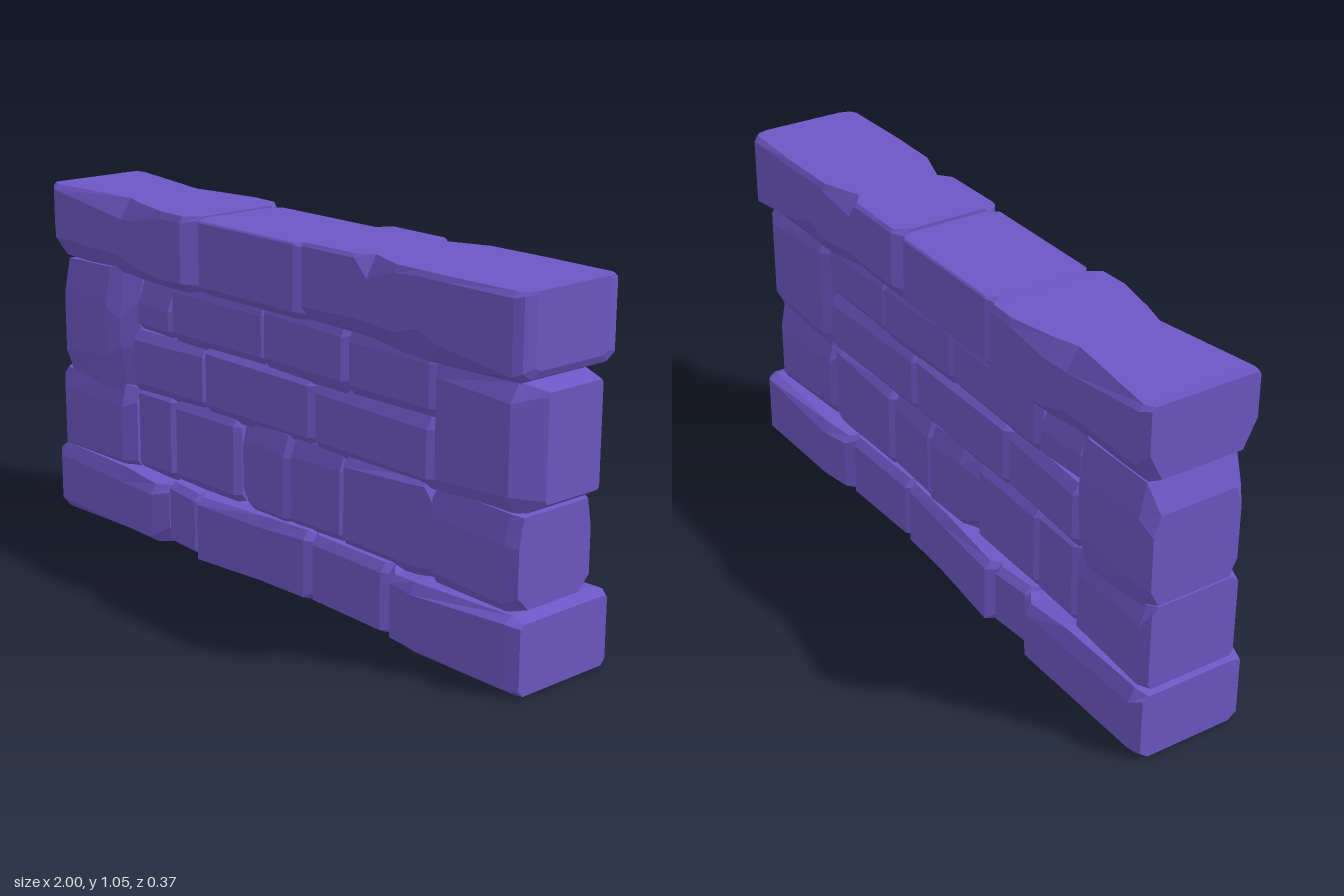
import * as THREE from 'three';

const stoneMat = new THREE.MeshStandardMaterial({ color: 0x6c57c4, flatShading: true });
stoneMat.name = 'purple stone';

let seed = 7;
const jitter = (a) => {
  seed = (seed * 16807) % 2147483647;
  return (seed / 2147483647 - 0.5) * 2 * a;
};

// Eight-sided section at x: bottom and top y, front depth z,
// bottom and top bevel heights (b) and depths (d); the back is shallower by "thin"
function section([x, y0, y1, z, b0 = 0.02, b1 = 0.02, d0 = 0.025, d1 = 0.02, own], stoneThin) {
  const zb = z - (own ?? stoneThin);
  return [
    [x, y0, z - d0], [x, y0 + b0, z], [x, y1 - b1, z], [x, y1, z - d1],
    [x, y1, d1 - zb], [x, y1 - b1, -zb], [x, y0 + b0, -zb], [x, y0, d0 - zb],
  ];
}

// Loft a stone through its sections, left to right, and cap both ends
function loft(stations, thin) {
  const rings = stations.map((s) => section(s, thin));
  const n = 8, index = [], last = (rings.length - 1) * n;
  for (let s = 0; s < rings.length - 1; s++) {
    for (let i = 0; i < n; i++) {
      const a = s * n + i, b = s * n + (i + 1) % n;
      index.push(a, a + n, b + n, a, b + n, b);
    }
  }
  for (let i = 1; i < n - 1; i++) {
    index.push(0, i, i + 1);
    index.push(last, last + i + 1, last + i);
  }
  const g = new THREE.BufferGeometry();
  g.setAttribute('position', new THREE.Float32BufferAttribute(rings.flat(2), 3));
  g.setIndex(index);
  g.computeVertexNormals();
  return g;
}

// Plain stone: chamfered ends, depth running from zL to zR
function plain([x0, x1, y0, y1, zL, zR, ...bevels]) {
  const e = 0.016;
  return [
    [x0, y0, y1, zL - 0.02, ...bevels],
    [x0 + e + jitter(0.005), y0, y1 + jitter(0.004), zL, ...bevels],
    [x1 - e + jitter(0.005), y0, y1 + jitter(0.004), zR, ...bevels],
    [x1, y0, y1, zR - 0.02, ...bevels],
  ];
}

export function createModel() {
  const wall = new THREE.Group();
  wall.name = 'stoneWall';
  const add = (name, stations, thin = 0.002) => {
    const m = new THREE.Mesh(loft(stations, thin), stoneMat);
    m.name = name;
    wall.add(m);
  };

  // Foundation course
  add('foundationLeftStone', [
    [-1, 0, 0.2, 0.16, 0.02, 0.01], [-0.965, 0, 0.215, 0.18, 0.03, 0.04],
    [-0.66, 0.005, 0.205, 0.175, 0.015, 0.045], [-0.5, 0.005, 0.19, 0.18, 0.02, 0.03],
    [-0.45, 0.01, 0.19, 0.148, 0.05, 0.02]]);
  add('foundationStone1', plain([-0.46, -0.3, 0.005, 0.2, 0.145, 0.155]));
  add('foundationStone2', [
    [-0.31, 0.01, 0.2, 0.135], [-0.285, 0, 0.2, 0.17, 0.01, 0.02],
    [-0.02, 0.005, 0.205, 0.15, 0.01, 0.03], [0.16, 0.005, 0.21, 0.145, 0.01, 0.025],
    [0.18, 0.01, 0.2, 0.125]]);
  add('foundationStone3', plain([0.175, 0.495, 0.005, 0.205, 0.14, 0.15, 0.012, 0.025]));
  add('foundationRightStone', [
    [0.49, 0, 0.205, 0.125], [0.525, 0, 0.19, 0.16, 0.015, 0.02],
    [0.62, 0, 0.2, 0.18, 0.02, 0.03], [0.965, 0, 0.21, 0.187, 0.02, 0.015, 0.03, 0.03],
    [1, 0, 0.195, 0.165, 0.015, 0.01, 0.015, 0.015]]);

  // Second course: proud end stones, recessed middle stones
  const inner = -0.004;
  add('secondCourseLeftStone', [
    [-0.985, 0.19, 0.46, 0.145, 0.03], [-0.96, 0.19, 0.46, 0.164, 0.03, 0.06],
    [-0.68, 0.19, 0.46, 0.15, 0.03, 0.07], [-0.64, 0.19, 0.45, 0.12, 0.03, 0.04]], 0.014);
  [
    [-0.65, -0.465, 0.19, 0.46, 0.118, 0.115, 0.03, 0.02],
    [-0.47, -0.165, 0.19, 0.46, 0.115, 0.115, 0.035, 0.03],
    [0.065, 0.29, 0.19, 0.46, 0.122, 0.115, 0.035, 0.05],
  ].forEach((s, i) => add('secondCourseStone' + (i + 1), plain(s), inner));
  add('secondCourseFacetedStone', [
    [-0.17, 0.19, 0.455, 0.09, 0.06, 0.08], [-0.09, 0.19, 0.46, 0.122, 0.03, 0.05],
    [0.055, 0.19, 0.46, 0.128, 0.03, 0.06], [0.085, 0.19, 0.45, 0.105, 0.03, 0.06]], inner);
  add('secondCourseLongStone', [
    [0.28, 0.19, 0.45, 0.1, 0.035], [0.3, 0.19, 0.46, 0.122, 0.035, 0.03],
    [0.58, 0.19, 0.47, 0.128, 0.035, 0.02], [0.61, 0.19, 0.47, 0.12, 0.035],
    [0.655, 0.19, 0.38, 0.1, 0.035]], inner);
  add('secondCourseRightStone', [
    [0.625, 0.19, 0.44, 0.105, 0.04], [0.66, 0.19, 0.465, 0.138, 0.045, 0.08],
    [0.93, 0.19, 0.465, 0.158, 0.04, 0.08], [0.965, 0.21, 0.46, 0.14, 0.04, 0.08, 0.04, 0.015]], 0.012);

  // Tall end stones of the middle course
  add('middleLeftStone', [
    [-0.98, 0.46, 0.73, 0.14, 0.05, 0.06], [-0.945, 0.445, 0.815, 0.162, 0.08, 0.1],
    [-0.72, 0.44, 0.825, 0.172, 0.11, 0.12], [-0.68, 0.44, 0.83, 0.148, 0.14, 0.16],
    [-0.635, 0.44, 0.83, 0.105, 0.14, 0.1]], 0.006);
  add('middleRightStone', [
    [0.63, 0.44, 0.82, 0.105, 0.05, 0.06], [0.67, 0.44, 0.81, 0.14, 0.05, 0.05],
    [0.93, 0.45, 0.8, 0.15, 0.06, 0.05, 0.03, 0.03],
    [0.985, 0.485, 0.775, 0.07, 0.01, 0.01, 0.005, 0.005, -0.06]]);

  // Two thin rows between the tall stones
  [
    [-0.66, -0.46, 0.63, 0.83, 0.108, 0.118, 0.03, 0.11, 0.025, 0.04],
    [-0.47, -0.04, 0.63, 0.835, 0.122, 0.115, 0.035, 0.05],
    [-0.055, 0.31, 0.63, 0.835, 0.12, 0.128, 0.04, 0.04],
    [0.3, 0.64, 0.63, 0.835, 0.122, 0.122, 0.035, 0.05],
  ].forEach((s, i) => add('upperThinStone' + (i + 1), plain(s), inner));
  [
    [-0.655, -0.315, 0.44, 0.64, 0.128, 0.112, 0.035, 0.03],
    [-0.32, 0.165, 0.44, 0.645, 0.118, 0.115, 0.035, 0.02],
    [0.16, 0.635, 0.44, 0.645, 0.115, 0.125, 0.035, 0.035],
  ].forEach((s, i) => add('lowerThinStone' + (i + 1), plain(s), inner));

  // Coping course, with crisp top edges
  add('copingLeftStone', [
    [-0.985, 0.84, 1.05, 0.165, 0.08, 0.01, 0.04, 0.01], [-0.955, 0.825, 1.048, 0.183, 0.06, 0.015, 0.04, 0.015],
    [-0.64, 0.81, 1.042, 0.165, 0.06, 0.06, 0.035, 0.04], [-0.56, 0.81, 1.04, 0.178, 0.04, 0.05, 0.035, 0.03],
    [-0.42, 0.81, 1.038, 0.187, 0.03, 0.02, 0.035, 0.01], [-0.33, 0.81, 1.037, 0.184, 0.03, 0.02, 0.035, 0.01],
    [-0.297, 0.815, 1.035, 0.14, 0.02, 0.01, 0.025, 0.01]]);
  add('copingMiddleStone', [
    [-0.3, 0.815, 1.03, 0.135], [-0.272, 0.815, 1.03, 0.163, 0.025, 0.005, 0.025, 0.005],
    [0.138, 0.815, 1.03, 0.163, 0.025, 0.005, 0.025, 0.005], [0.165, 0.815, 1.03, 0.135]]);
  add('copingRightStone', [
    [0.16, 0.825, 1.04, 0.14, 0.03], [0.185, 0.825, 1.04, 0.173, 0.04, 0.01, 0.03, 0.008],
    [0.39, 0.82, 1.04, 0.172, 0.05, 0.01, 0.035, 0.01], [0.43, 0.815, 1.04, 0.165, 0.05, 0.06, 0.035, 0.035],
    [0.55, 0.805, 1.04, 0.184, 0.06, 0.02, 0.04, 0.01], [0.64, 0.8, 1.04, 0.185, 0.09, 0.015, 0.04, 0.01],
    [0.72, 0.8, 1.04, 0.187, 0.06, 0.015, 0.045, 0.01], [0.965, 0.81, 1.04, 0.187, 0.02, 0.015, 0.035, 0.015],
    [0.985, 0.82, 1.04, 0.17, 0.02, 0.01, 0.03, 0.01], [0.995, 0.84, 1.04, 0.135, 0.01, 0.01, 0.02, 0.005]]);

  return wall;
}
